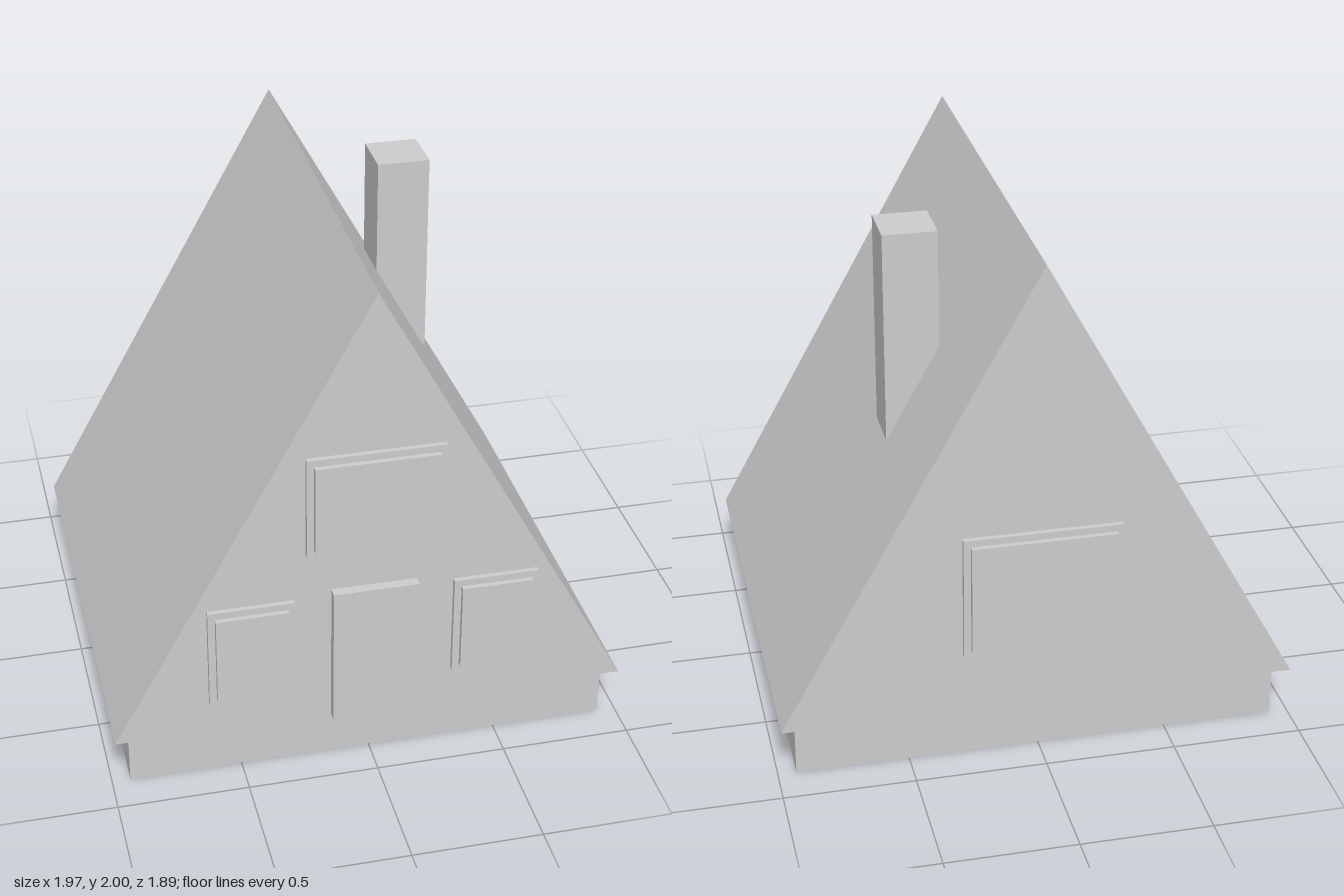
import * as THREE from 'three';

export function createModel() {
  const house = new THREE.Group();
  house.name = 'aFrameHouse';
  const grey = new THREE.MeshStandardMaterial({ color: 0xcccccc });
  grey.name = 'lightGrey';

  // Box given by its low and high corner on each axis
  const block = (name, [x0, x1], [y0, y1], [z0, z1], parent = house) => {
    const mesh = new THREE.Mesh(new THREE.BoxGeometry(x1 - x0, y1 - y0, z1 - z0), grey);
    mesh.position.set((x0 + x1) / 2, (y0 + y1) / 2, (z0 + z1) / 2);
    mesh.name = name;
    parent.add(mesh);
  };

  // Plinth under the body
  block('foundation', [-0.93, 0.93], [0, 0.22], [-0.85, 0.85]);

  // Triangular body, roof and gables in one prism
  const gable = new THREE.Shape([
    new THREE.Vector2(-0.985, 0.22),
    new THREE.Vector2(0.985, 0.22),
    new THREE.Vector2(0, 2),
  ]);
  const bodyGeometry = new THREE.ExtrudeGeometry(gable, { depth: 1.81, bevelEnabled: false });
  bodyGeometry.translate(0, 0, -0.905);
  const body = new THREE.Mesh(bodyGeometry, grey);
  body.name = 'roofBody';
  house.add(body);

  // Chimney, its foot buried in the roof
  block('chimney', [0.28, 0.485], [1.02, 1.95], [-0.405, -0.2]);

  // Front door
  block('door', [-0.162, 0.162], [0.22, 0.795], [0.88, 0.945]);

  // Window: a frame with a raised pane; side is 1 for front, -1 for back
  const addWindow = (name, cx, halfWidth, y0, y1, side) => {
    const group = new THREE.Group();
    group.name = name;
    const depth = (out) => (side > 0 ? [0.88, out] : [-out, -0.88]);
    const inset = 0.027;
    block('windowFrame', [cx - halfWidth, cx + halfWidth], [y0, y1], depth(0.925), group);
    block('windowPane', [cx - halfWidth + inset, cx + halfWidth - inset],
      [y0 + inset, y1 - inset], depth(0.945), group);
    house.add(group);
  };
  addWindow('leftWindow', 0.465, 0.163, 0.36, 0.77, 1);
  addWindow('rightWindow', -0.465, 0.163, 0.36, 0.77, 1);
  addWindow('upperWindow', 0, 0.258, 0.963, 1.372, 1);
  addWindow('backWindow', 0, 0.3, 0.47, 0.96, -1);

  return house;
}
